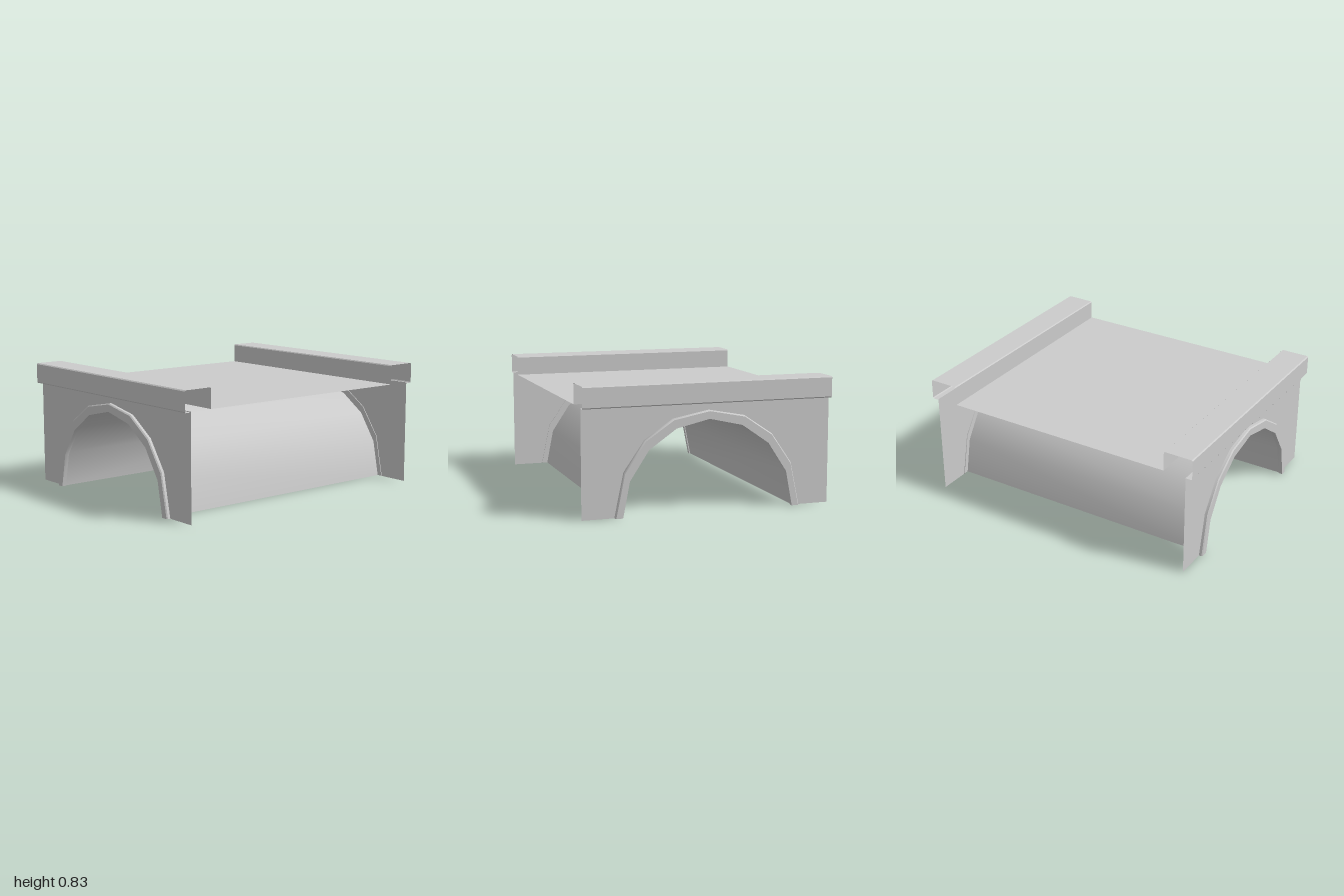
import * as THREE from 'three';
import { toCreasedNormals } from 'three/addons/utils/BufferGeometryUtils.js';

const DEPTH = 0.83;   // half length of deck and walls along z
const WALL_X = 0.955;
const DECK_Y = 0.7;

const material = new THREE.MeshStandardMaterial({ color: 0xcccccc, side: THREE.DoubleSide });

// Half arch stations as [z, y], from foot to crown
const OUTER = [[0.62, 0], [0.56, 0.285], [0.425, 0.48], [0.238, 0.605], [0, 0.65]];
const INNER = [[0.57, 0], [0.525, 0.23], [0.4, 0.42], [0.22, 0.545], [0, 0.595]];

// Complete arch outline, t = 0 at the inner edge and 1 at the outer edge
function arch(t) {
  const half = INNER.map(([z, y], i) => [
    THREE.MathUtils.lerp(z, OUTER[i][0], t),
    THREE.MathUtils.lerp(y, OUTER[i][1], t),
  ]);
  return [...half, ...half.slice(0, -1).reverse().map(([z, y]) => [-z, y])];
}

// Open sheet spanned between equal rows of points
function sheet(rows) {
  const n = rows[0].length;
  const index = [];
  for (let i = 0; i < rows.length - 1; i++) {
    for (let j = 0; j < n - 1; j++) {
      const a = i * n + j, b = a + 1, d = a + n, c = d + 1;
      index.push(a, d, c, a, c, b);
    }
  }
  const geometry = new THREE.BufferGeometry();
  geometry.setAttribute('position', new THREE.Float32BufferAttribute(rows.flat(2), 3));
  geometry.setIndex(index);
  geometry.computeVertexNormals();
  return geometry;
}

// Sheet with an [x, y] profile running the full depth
function alongZ(profile) {
  return sheet([-DEPTH, DEPTH].map((z) => profile.map(([x, y]) => [x, y, z])));
}

function part(name, geometry) {
  const mesh = new THREE.Mesh(geometry, material);
  mesh.name = name;
  return mesh;
}

// Side wall with the arched opening cut into its lower edge
function wallGeometry() {
  const outline = [[-DEPTH, 0], [-DEPTH, DECK_Y], [DEPTH, DECK_Y], [DEPTH, 0], ...arch(0.2)];
  const shape = new THREE.Shape(outline.map(([z, y]) => new THREE.Vector2(z, y)));
  return new THREE.ShapeGeometry(shape).rotateY(Math.PI / 2).translate(WALL_X, 0, 0);
}

// Raised band around the opening, with a softened outer edge
function trimGeometry() {
  const section = [[0.95, 0], [0.98, 0], [0.98, 0.88], [0.973, 1], [0.95, 1]];
  const curves = section.map(([, t]) => arch(t));
  const rows = curves[0].map((_, i) =>
    section.map(([x], j) => [x, curves[j][i][1], curves[j][i][0]]));
  return toCreasedNormals(sheet(rows), 0.6);
}

// Kerb: inner face, top, outer face and the lip back to the wall
function kerbGeometry() {
  return toCreasedNormals(alongZ([
    [0.8, DECK_Y], [0.8, 0.826], [0.806, 0.833], [0.993, 0.833], [1, 0.826],
    [1, 0.702], [0.995, 0.695], [WALL_X, 0.695],
  ]), 0.5);
}

export function createModel() {
  const model = new THREE.Group();
  model.name = 'archBridge';

  model.add(part('deck', alongZ([[-0.8, DECK_Y], [0.8, DECK_Y]])));

  // Smooth vault under the deck
  const vault = arch(0.2).map(([z, y]) => [[WALL_X, y, z], [-WALL_X, y, z]]);
  model.add(part('vault', sheet(vault)));

  // Matching sides
  for (const side of [1, -1]) {
    const group = new THREE.Group();
    group.name = side > 0 ? 'leftSide' : 'rightSide';
    group.add(
      part('wall', wallGeometry()),
      part('archTrim', trimGeometry()),
      part('kerb', kerbGeometry()),
    );
    group.scale.x = side;
    model.add(group);
  }
  return model;
}
